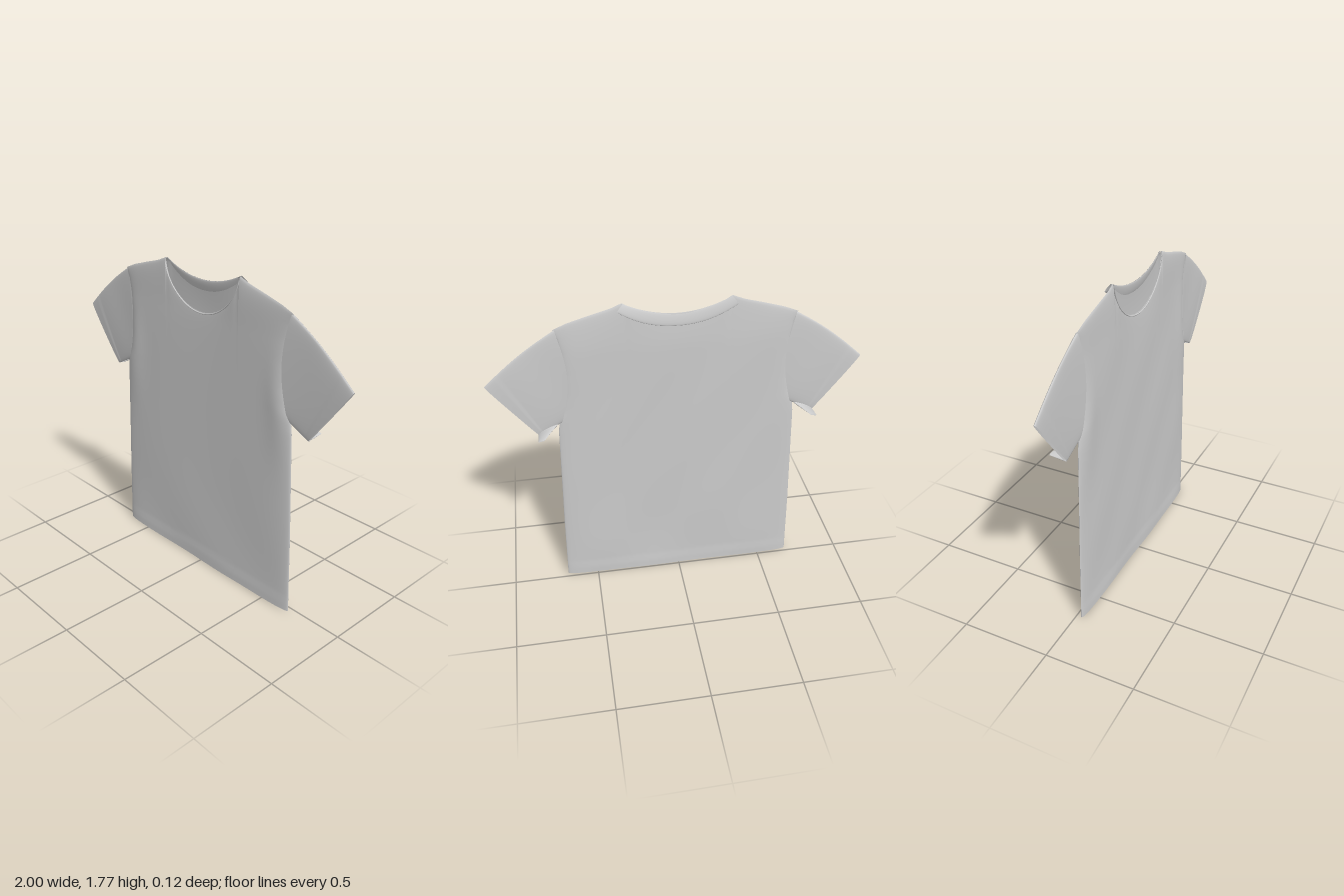
import * as THREE from 'three';

const cloth = new THREE.MeshStandardMaterial({ color: 0xcccccc, side: THREE.DoubleSide });
const { lerp, smoothstep } = THREE.MathUtils;
const MID = 0.03;        // depth of the garment's middle plane
const NECK = 0.28 / 0.62; // column where the neck opening meets the shoulder

// Grid surface from a rule (u, v in 0..1) -> [x, y, z]
function sheet(name, nu, nv, rule, flip = false) {
  const pos = [], idx = [];
  for (let j = 0; j <= nv; j++)
    for (let i = 0; i <= nu; i++) pos.push(...rule(i / nu, j / nv));
  for (let j = 0; j < nv; j++)
    for (let i = 0; i < nu; i++) {
      const a = j * (nu + 1) + i, b = a + 1, c = a + nu + 1, d = c + 1;
      if (flip) idx.push(a, d, b, a, c, d);
      else idx.push(a, b, d, a, d, c);
    }
  const g = new THREE.BufferGeometry();
  g.setAttribute('position', new THREE.Float32BufferAttribute(pos, 3));
  g.setIndex(idx);
  g.computeVertexNormals();
  const mesh = new THREE.Mesh(g, cloth);
  mesh.name = name;
  return mesh;
}

// Piecewise linear lookup
function lookup(points, t) {
  for (let i = 1; i < points.length; i++) {
    const [a, p] = points[i - 1], [b, q] = points[i];
    if (t <= b) return lerp(p, q, (t - a) / (b - a));
  }
  return points[points.length - 1][1];
}

// Half width of the body by height: straight sides, then the armhole curve
const WIDTH = [[0, 0.682], [0.4, 0.672], [1.05, 0.648], [1.12, 0.638], [1.18, 0.615],
  [1.27, 0.598], [1.4, 0.59], [1.52, 0.595], [1.6, 0.608], [1.66, 0.63]];
const SHOULDER = [[0.28, 1.77], [0.34, 1.745], [0.45, 1.715], [0.55, 1.685], [0.62, 1.655]];

const backNeck = x => 1.77 - 0.07 * Math.max(0, 1 - (x / 0.28) ** 2);
const frontNeck = x => 1.77 - 0.24 * Math.max(0, 1 - (x / 0.28) ** 2) ** 0.6;

// Soft wrinkles
const wrinkle = (x, y) => 0.0018 * Math.sin(7 * x + 4 * y + 1.5 * Math.sin(3 * y))
  + 0.0012 * Math.sin(13 * x - 9 * y);

// Columns crowd towards the neck corners and the side seams
function column(u) {
  const a = 2 * u - 1, m = Math.abs(a);
  const s = m < 0.5 ? NECK * Math.sin(m * Math.PI)
    : NECK + (1 - NECK) * Math.sin((m - 0.5) * Math.PI);
  return Math.sign(a) * s;
}

// Front or back panel of the body
function panel(name, side) {
  return sheet(name, 80, 80, (u, v) => {
    const s = column(u), m = Math.abs(s), xs = m * 0.62;
    const top = m < NECK - 1e-6 ? (side > 0 ? frontNeck(xs) : backNeck(xs)) : lookup(SHOULDER, xs);
    const t = 1 - (1 - v) ** 1.3;
    const y = t * top;
    const x = s * (0.62 + (lookup(WIDTH, y) - 0.62) * m ** 3);
    const edge = Math.sqrt(Math.max(0, 1 - m ** 10));
    const open = 0.5 * (1 - smoothstep(m, NECK * 0.85, NECK)); // neck stays open, shoulders close
    const lid = lerp(open, 1, Math.sqrt(Math.max(0, 1 - t ** 14)));
    const hem = 0.003 * (1 - smoothstep(y, 0.07, 0.085));
    // fullness beside the underarm
    const full = side > 0 ? 0.012 * Math.exp(-(((m - 0.92) / 0.12) ** 2) - ((y - 1.15) / 0.25) ** 2) : 0;
    const h = (0.016 + hem + full + wrinkle(x, y * side)) * edge * lid;
    return [x, y, MID + side * h + 0.006 * smoothstep(y, 1.5, 1.77)];
  }, side < 0);
}

// Flattened tube from the armhole seam to the open cuff
function sleeve(name, dir) {
  return sheet(name, 48, 32, (u, v) => {
    const a = u * Math.PI * 2, k = (1 + Math.cos(a)) / 2, sn = Math.sin(a);
    const topX = lerp(0.62, 0.998, v), topY = lerp(1.655, 1.37, v) + 0.018 * Math.sin(Math.PI * v);
    const lowX = lerp(0.625, 0.752, v), lowY = lerp(1.11, 1.045, v);
    const x = lerp(lowX, topX, k) - 0.045 * Math.sin(Math.PI * k) * (1 - v) ** 2;
    const y = lerp(lowY, topY, k);
    const cuff = 0.002 * smoothstep(v, 0.82, 0.85);
    const h = lerp(0.017, 0.011, v) + cuff + wrinkle(x * 1.3, y);
    return [dir * x, y, lerp(MID, 0.024, v) + Math.sign(sn) * Math.abs(sn) ** 0.6 * h];
  }, dir > 0);
}

// Spare cloth under the sleeve, folded out backwards
function underarmFold(name, dir) {
  return sheet(name, 24, 12, (u, v) => {
    const a = u * Math.PI * 2, k = (1 - Math.cos(a)) / 2;
    const x = lerp(lerp(0.645, 0.725, v ** 0.7), 0.758, k);
    const y = lerp(lerp(1.105, 1.066, Math.sqrt(v)), lerp(1.05, 1.06, v), k);
    const thick = lerp(0.012, 0.002, v) * Math.sin(a);
    return [dir * x, y + thick, lerp(0.025, -0.064, v)];
  }, dir < 0);
}

// Ribbed band round the back of the neck, slightly proud of the panel
function backCollar() {
  return sheet('backCollar', 48, 16, (u, v) => {
    const a = v * Math.PI * 2, s = Math.sin((u - 0.5) * Math.PI), m = Math.abs(s);
    const k = (1 - Math.cos(a)) / 2;
    const x = s * lerp(0.278, 0.305, k);
    const y = backNeck(s * 0.28) - k * lerp(0.065, 0.035, m ** 3);
    const z = lerp(0.028, 0.014 - 0.008 * m ** 4, k);
    return [x, y, z + 0.005 * Math.sin(a)];
  });
}

// Narrow turned edge along the front neckline
function frontCollar() {
  return sheet('frontCollar', 64, 8, (u, v) => {
    const a = v * Math.PI * 2, s = Math.sin((u - 0.5) * Math.PI);
    const x = s * 0.278;
    return [x, frontNeck(x) - 0.005 + 0.004 * Math.cos(a), 0.043 + 0.004 * Math.sin(a)];
  });
}

export function createModel() {
  const shirt = new THREE.Group();
  shirt.name = 'tShirt';
  shirt.add(panel('frontPanel', 1), panel('backPanel', -1), frontCollar(), backCollar());
  for (const [label, dir] of [['left', 1], ['right', -1]])
    shirt.add(sleeve(label + 'Sleeve', dir), underarmFold(label + 'UnderarmFold', dir));
  return shirt;
}
